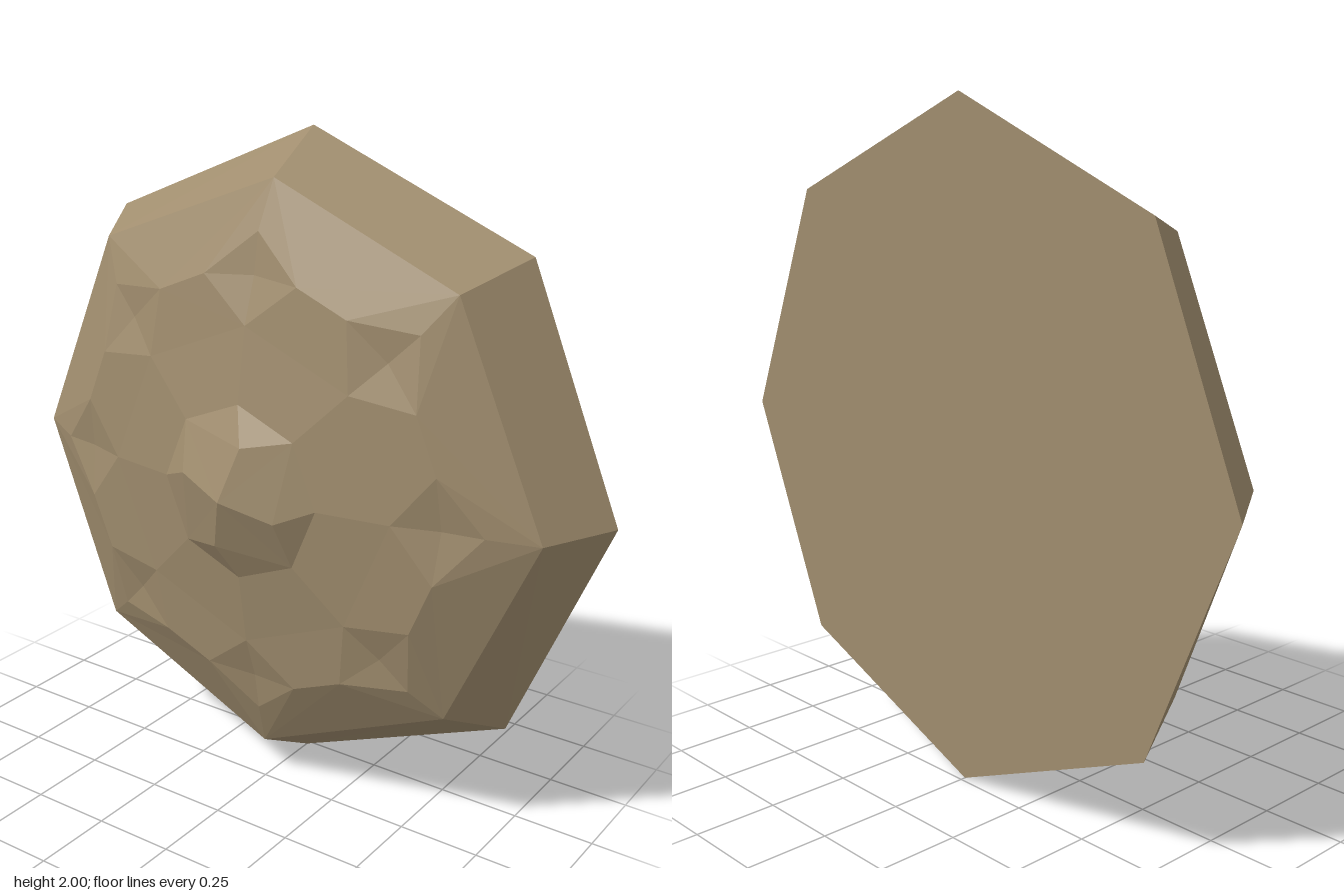
import * as THREE from 'three';

// Faceted octagonal boss: flat back, bevelled rim, dimpled dome and a low central peak.
const N = 8;
const polar = (r, deg, z) => {
  const a = THREE.MathUtils.degToRad(deg);
  return [r * Math.cos(a), 1 + r * Math.sin(a), z];
};
const ring = (r, z, offset = 0, n = N) =>
  Array.from({ length: n }, (_, k) => polar(r, offset + (k * 360) / n, z));

// Builds one mesh from counter-clockwise polygons, each fanned from its first corner
function facets(name, polygons, material) {
  const pos = [];
  for (const p of polygons)
    for (let i = 1; i < p.length - 1; i++) pos.push(...p[0], ...p[i], ...p[i + 1]);
  const g = new THREE.BufferGeometry();
  g.setAttribute('position', new THREE.Float32BufferAttribute(pos, 3));
  g.computeVertexNormals();
  const mesh = new THREE.Mesh(g, material);
  mesh.name = name;
  return mesh;
}

export function createModel() {
  const stone = new THREE.MeshStandardMaterial({ color: 0xa08d6e, flatShading: true });
  stone.name = 'sandstone';

  // Rings of corners from the back edge to the peak
  const back = ring(1, -0.235);
  const rim = [[0.88, -0.01], [0.6, 0.63], [0.01, 0.88], [-0.6, 0.65],
    [-0.87, 0.02], [-0.63, -0.61], [-0.02, -0.89], [0.61, -0.61]]
    .map(([x, y]) => [x, 1 + y, -0.025]);
  const outer = ring(0.74, 0.035);
  const sideA = ring(0.63, 0.078, -14.5);
  const sideB = ring(0.63, 0.078, 14.5);
  const inner = ring(0.485, 0.1);
  const dent = ring(0.62, 0.055);
  const hub = ring(0.265, 0.135);
  const shoulder = ring(0.165, 0.19, -16, 4);
  const apex = [0, 1, 0.235];

  const bevel = [], slope = [], petals = [], dimples = [], peak = [];
  for (let k = 0; k < N; k++) {
    const n = (k + 1) % N;
    bevel.push([back[k], back[n], rim[n], rim[k]]);
    // Outer slope between the rim and the dimples
    slope.push(
      [rim[k], rim[n], sideA[n], sideB[k]],
      [rim[k], sideB[k], outer[k]],
      [rim[n], outer[n], sideA[n]]
    );
    // Broad facets between neighbouring dimples
    petals.push(
      [inner[k], sideB[k], sideA[n], inner[n]],
      [hub[k], inner[k], inner[n], hub[n]]
    );
    // Four-sided hollow
    const loop = [outer[k], sideB[k], inner[k], sideA[k]];
    loop.forEach((c, i) => dimples.push([dent[k], c, loop[(i + 1) % 4]]));
  }
  // Central peak with four slightly twisted facets
  for (let q = 0; q < 4; q++) {
    const s = shoulder[q], t = shoulder[(q + 1) % 4];
    const h = hub[q * 2], d = hub[q * 2 + 1], b = hub[(q * 2 + 7) % N];
    peak.push([apex, s, d, t], [s, h, d], [s, b, h]);
  }

  const group = new THREE.Group();
  group.name = 'facetedBoss';
  group.add(
    facets('backPlate', [[...back].reverse()], stone),
    facets('bevelledRim', bevel, stone),
    facets('outerSlope', slope, stone),
    facets('petalFacets', petals, stone),
    facets('dimples', dimples, stone),
    facets('centrePeak', peak, stone)
  );
  return group;
}
